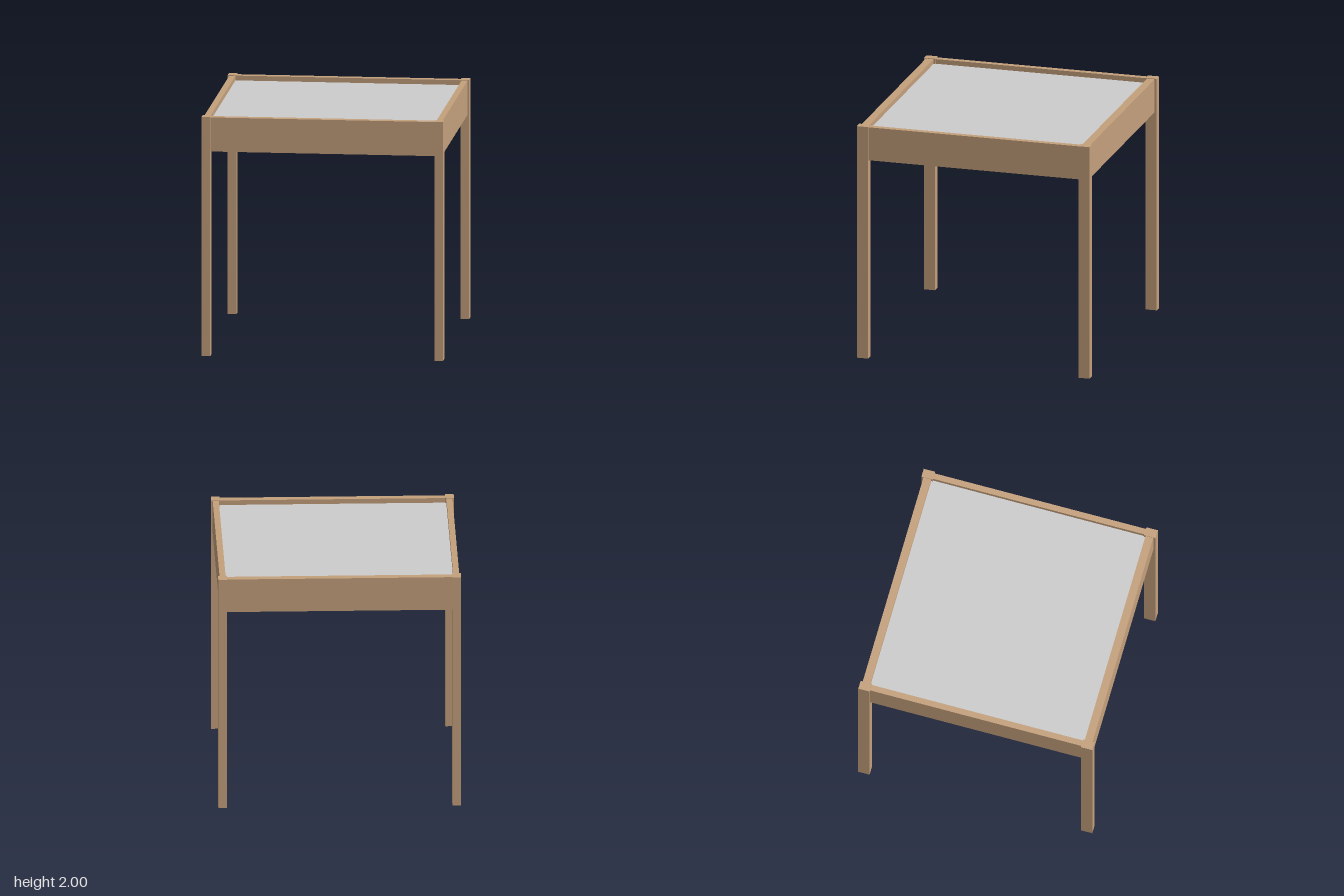
import * as THREE from 'three';

export function createModel() {
  const wood = new THREE.MeshStandardMaterial({ color: 0xc4a07c });
  wood.name = 'wood';
  const grey = new THREE.MeshStandardMaterial({ color: 0xcccccc });
  grey.name = 'panel grey';

  const table = new THREE.Group();
  table.name = 'table';

  // Box given by its size and centre
  function box(name, material, [w, h, d], [x, y, z]) {
    const mesh = new THREE.Mesh(new THREE.BoxGeometry(w, h, d), material);
    mesh.name = name;
    mesh.position.set(x, y, z);
    table.add(mesh);
  }

  // Legs, standing slightly proud of the rails
  for (const sx of [-1, 1]) {
    for (const sz of [-1, 1]) {
      const name = (sz > 0 ? 'front' : 'back') + (sx > 0 ? 'Left' : 'Right') + 'Leg';
      box(name, wood, [0.072, 2, 0.097], [sx * 0.964, 1, sz * 0.9515]);
    }
  }

  // Apron rails between the legs
  for (const s of [-1, 1]) {
    box(s > 0 ? 'frontRail' : 'backRail', wood, [1.856, 0.285, 0.066], [0, 1.8525, s * 0.949]);
    box(s > 0 ? 'leftRail' : 'rightRail', wood, [0.05, 0.285, 1.808], [s * 0.962, 1.8525, 0]);
  }

  // Thin top panel set just below the rim
  box('topPanel', grey, [1.876, 0.015, 1.834], [0, 1.9475, 0]);

  return table;
}
